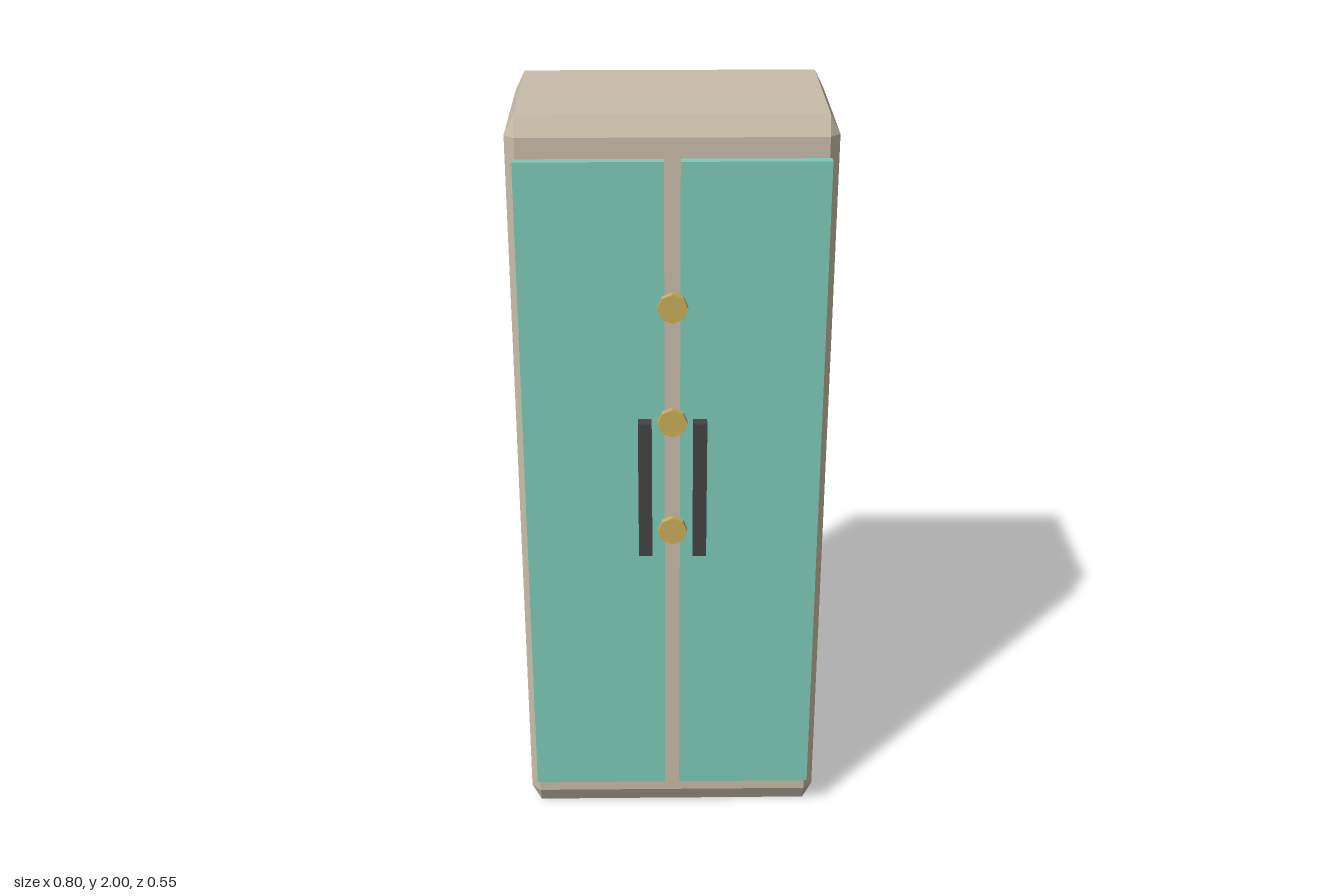
import * as THREE from 'three';
import { ConvexGeometry } from 'three/addons/geometries/ConvexGeometry.js';

const mat = (name, color) => {
  const m = new THREE.MeshStandardMaterial({ color, flatShading: true });
  m.name = name;
  return m;
};

// Box with every edge chamfered; the inset may differ per axis
function chamferedBox(half, inset) {
  const points = [];
  for (const sx of [-1, 1]) for (const sy of [-1, 1]) for (const sz of [-1, 1]) {
    for (let axis = 0; axis < 3; axis++) {
      const c = half.map((h, i) => (i === axis ? h : h - inset[i]));
      points.push(new THREE.Vector3(sx * c[0], sy * c[1], sz * c[2]));
    }
  }
  return new ConvexGeometry(points);
}

export function createModel() {
  const group = new THREE.Group();
  group.name = 'cabinet';
  const beige = mat('beige', 0xc9beaa);
  const teal = mat('teal', 0x7fcbba);
  const charcoal = mat('charcoal', 0x444444);
  const brass = mat('brass', 0xc9ae5a);

  const add = (name, geometry, material, x, y, z) => {
    const mesh = new THREE.Mesh(geometry, material);
    mesh.name = name;
    mesh.position.set(x, y, z);
    group.add(mesh);
    return mesh;
  };

  // Cabinet body
  add('body', chamferedBox([0.4, 1, 0.24], [0.025, 0.05, 0.025]), beige, 0, 1, -0.035);

  // Doors and handles, mirrored
  const door = new THREE.BoxGeometry(0.36, 1.8, 0.026);
  const handle = new THREE.BoxGeometry(0.035, 0.38, 0.032);
  for (const [side, s] of [['left', 1], ['right', -1]]) {
    add(`${side}Door`, door, teal, s * 0.2, 1, 0.223);
    add(`${side}Handle`, handle, charcoal, s * 0.07, 1.043, 0.256);
  }

  // Octagonal studs down the middle, facing forward
  const stud = new THREE.CylinderGeometry(0.038, 0.038, 0.017, 8).rotateX(Math.PI / 2);
  for (let i = 0; i < 3; i++) add(`stud${i + 1}`, stud, brass, 0, 0.927 + i * 0.308, 0.2655);

  return group;
}
